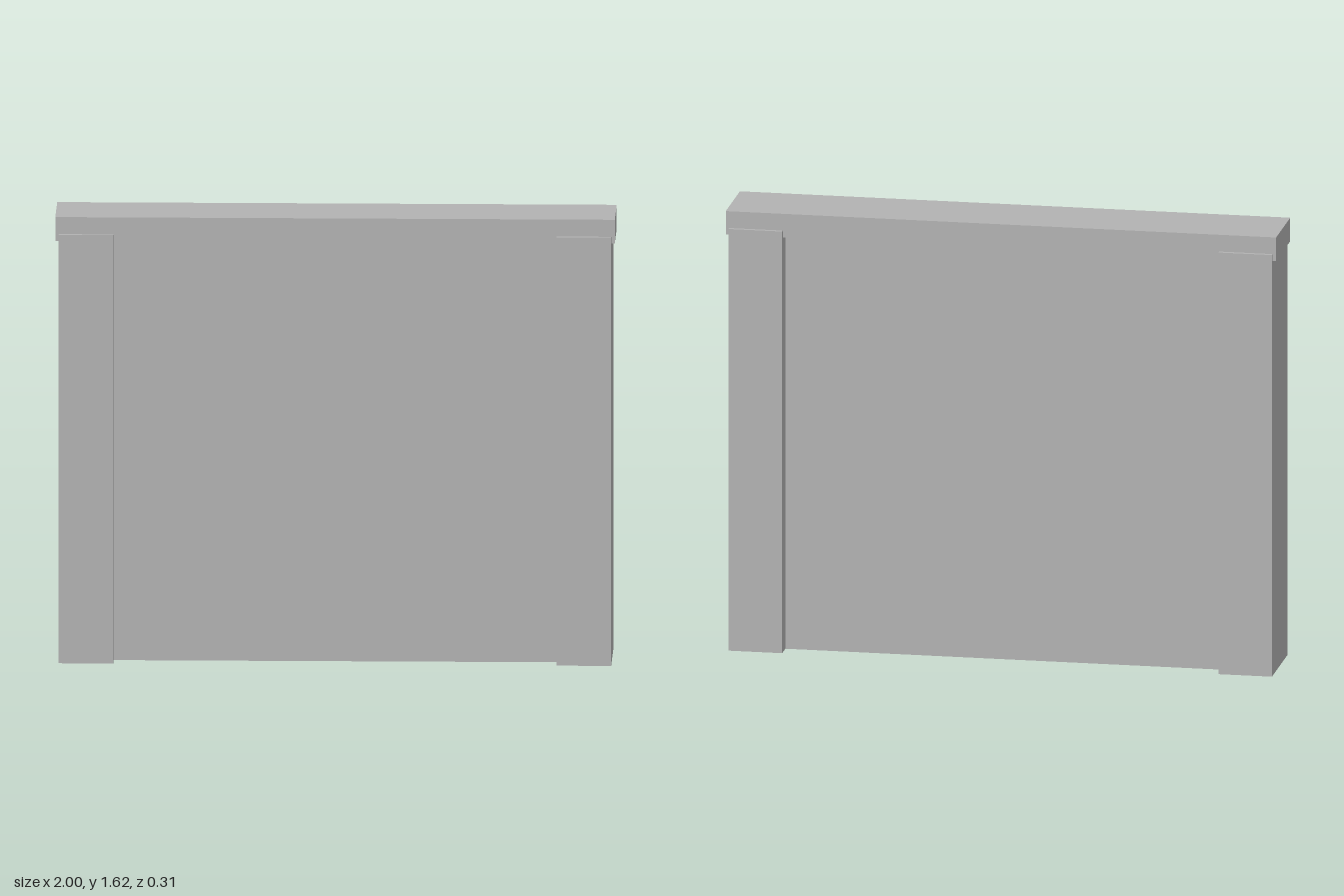
import * as THREE from 'three';

const stone = new THREE.MeshStandardMaterial({ color: 0xb2b2b2 });
stone.name = 'stoneGrey';

// Box resting on height y0, centred on z = 0
function block(name, width, y0, y1, depth, x = 0) {
  const mesh = new THREE.Mesh(new THREE.BoxGeometry(width, y1 - y0, depth), stone);
  mesh.name = name;
  mesh.position.set(x, (y0 + y1) / 2, 0);
  return mesh;
}

export function createModel() {
  const wall = new THREE.Group();
  wall.name = 'wallSection';

  // Recessed panel between the pillars
  wall.add(block('panel', 1.6, 0, 1.54, 0.18));

  // Pillars, standing proud of the panel on both faces
  for (const [name, side] of [['leftPillar', 1], ['rightPillar', -1]]) {
    wall.add(block(name, 0.195, 0, 1.56, 0.306, side * 0.89));
  }

  // Coping along the top, overlapping the pillar heads
  wall.add(block('coping', 2, 1.535, 1.622, 0.278));

  return wall;
}
